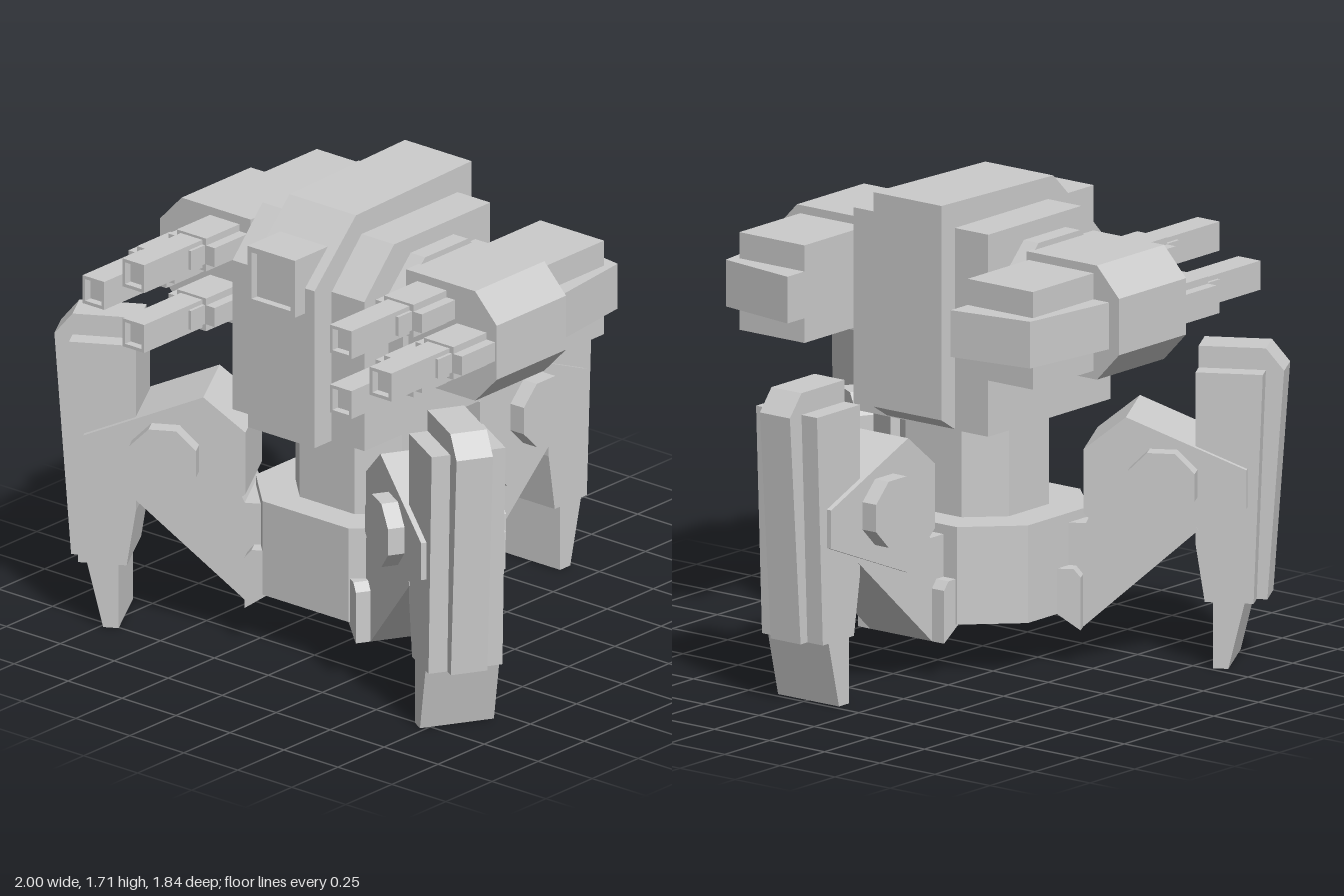
import * as THREE from 'three';

const material = new THREE.MeshStandardMaterial({ color: 0xcccccc, flatShading: true });

function add(parent, name, geometry) {
  const mesh = new THREE.Mesh(geometry, material);
  mesh.name = name;
  parent.add(mesh);
  return mesh;
}

const outline = (points) => new THREE.Shape(points.map(([x, y]) => new THREE.Vector2(x, y)));

// Outline in x, y extruded between two z values
function prism(points, z0, z1, hole) {
  const shape = outline(points);
  if (hole) shape.holes.push(outline(hole));
  return new THREE.ExtrudeGeometry(shape, { depth: z1 - z0, bevelEnabled: false }).translate(0, 0, z0);
}

// Side profile in z, y extruded evenly across x
const slab = (points, half) => prism(points, -half, half).rotateY(-Math.PI / 2);

// Box given by its limits
const block = (x0, x1, y0, y1, z0, z1) =>
  new THREE.BoxGeometry(Math.abs(x1 - x0), y1 - y0, z1 - z0)
    .translate((x0 + x1) / 2, (y0 + y1) / 2, (z0 + z1) / 2);

const rect = (cx, cy, w, h = w) => [[cx - w, cy - h], [cx + w, cy - h], [cx + w, cy + h], [cx - w, cy + h]];

// Rectangle with cut corners
const octagon = (cx, cy, w, h, cutX, cutY) => [
  [cx - w + cutX, cy - h], [cx + w - cutX, cy - h], [cx + w, cy - h + cutY], [cx + w, cy + h - cutY],
  [cx + w - cutX, cy + h], [cx - w + cutX, cy + h], [cx - w, cy + h - cutY], [cx - w, cy - h + cutY],
];

// Square bar with a recessed end facing +z
function hollowBar(parent, name, cx, cy, w, h, z0, z1, rim, depth) {
  add(parent, name, block(cx - w, cx + w, cy - h, cy + h, z0, z1 - depth));
  add(parent, name + 'Rim', prism(rect(cx, cy, w, h), z1 - depth, z1, rect(cx, cy, w - rim, h - rim)));
}

// One leg, reaching out along +z from the hip centre
function makeLeg(name) {
  const leg = new THREE.Group();
  leg.name = name;
  add(leg, 'hipBracket', slab(
    [[0.28, 0.19], [0.325, 0.19], [0.41, 0.133], [0.41, 0.325], [0.385, 0.355], [0.28, 0.355]], 0.195));
  add(leg, 'thigh', slab(
    [[0.28, 0.19], [0.325, 0.19], [0.41, 0.133], [0.82, 0.5], [0.75, 0.65], [0.47, 0.62], [0.42, 0.51], [0.28, 0.51]], 0.14));
  add(leg, 'kneeHousing', slab(
    [[0.414, 0.55], [0.565, 0.417], [0.995, 0.59], [0.995, 0.73], [0.565, 0.906], [0.414, 0.783]], 0.158));
  add(leg, 'kneeHub', slab(octagon(0.7, 0.675, 0.12, 0.12, 0.07, 0.07), 0.22));
  add(leg, 'shinAndFoot', slab(
    [[0.81, 1.074], [0.81, 0.45], [0.843, 0.24], [0.872, 0.24], [0.872, 0], [0.927, 0], [0.985, 0.24],
      [1.017, 0.24], [1.05, 1.074]], 0.138));
  add(leg, 'shinRib', slab(
    [[0.81, 1.153], [0.81, 0.45], [0.843, 0.24], [1.055, 0.24], [1.115, 1.074], [1.05, 1.153]], 0.068));
  return leg;
}

// Weapon pod on one side (s = 1 left, s = -1 right)
function makePod(s) {
  const pod = new THREE.Group();
  pod.name = s > 0 ? 'leftWeaponPod' : 'rightWeaponPod';
  add(pod, 'podHousing', prism(
    [[0.36, 1.12], [0.68, 1.12], [0.78, 1.225], [0.78, 1.43], [0.68, 1.535], [0.36, 1.535]]
      .map(([x, y]) => [s * x, y]), 0.05, 0.425));
  add(pod, 'rearHousing', block(s * 0.37, s * 0.665, 1.15, 1.505, -0.29, 0.05));
  // Tapered tail drawn from above, then laid flat
  const tail = prism([[0.37, -0.06], [0.737, -0.06], [0.69, 0.335], [0.37, 0.385]]
    .map(([x, y]) => [s * x, y]), 1.24, 1.41).rotateX(-Math.PI / 2);
  add(pod, 'podTail', tail);
  for (const [x, y] of [[0.48, 1.442], [0.665, 1.33], [0.48, 1.215]]) {
    add(pod, 'gunReceiver', prism(rect(s * x, y, 0.068, 0.062), 0.42, 0.605));
    add(pod, 'gunSideBlock', prism(rect(s * x, y, 0.107, 0.036), 0.42, 0.605));
    add(pod, 'gunCollar', prism(rect(s * x, y, 0.062, 0.036), 0.6, 0.68));
    hollowBar(pod, 'gunBarrel', s * x, y, 0.05, 0.053, 0.6, 0.92, 0.012, 0.03);
  }
  return pod;
}

export function createModel() {
  const model = new THREE.Group();
  model.name = 'tripodWalker';

  // Hips, waist and three legs around a shared centre
  const lower = new THREE.Group();
  lower.name = 'lowerBody';
  lower.position.set(-0.003, 0, 0.2);
  model.add(lower);
  add(lower, 'hipBlock', prism(octagon(0, 0, 0.38, 0.345, 0.18, 0.175), 0.19, 0.545).rotateX(-Math.PI / 2));
  add(lower, 'waist', prism(octagon(0, 0, 0.247, 0.228, 0.12, 0.117), 0.54, 0.9).rotateX(-Math.PI / 2));
  [['leftFrontLeg', 1], ['rightFrontLeg', -1], ['rearLeg', 3]].forEach(([name, turn]) => {
    const leg = makeLeg(name);
    leg.rotation.y = turn * Math.PI / 3;
    lower.add(leg);
  });

  // Torso: tall centre slab, wider hull and shoulder pivots
  const torso = new THREE.Group();
  torso.name = 'torso';
  model.add(torso);
  add(torso, 'centreHull', slab(
    [[-0.09, 0.88], [0.68, 0.88], [0.68, 1.475], [0.455, 1.695], [-0.17, 1.71], [-0.17, 0.93]], 0.154));
  add(torso, 'wideHull', slab(
    [[-0.095, 0.88], [0.587, 0.88], [0.587, 1.445], [0.425, 1.615], [-0.095, 1.615]], 0.305));
  add(torso, 'shoulderPivot', slab(octagon(0.22, 1.32, 0.236, 0.236, 0.12, 0.12), 0.372));
  hollowBar(torso, 'sensorBox', 0, 1.488, 0.11, 0.108, 0.5, 0.735, 0.02, 0.03);

  model.add(makePod(1), makePod(-1));
  return model;
}
